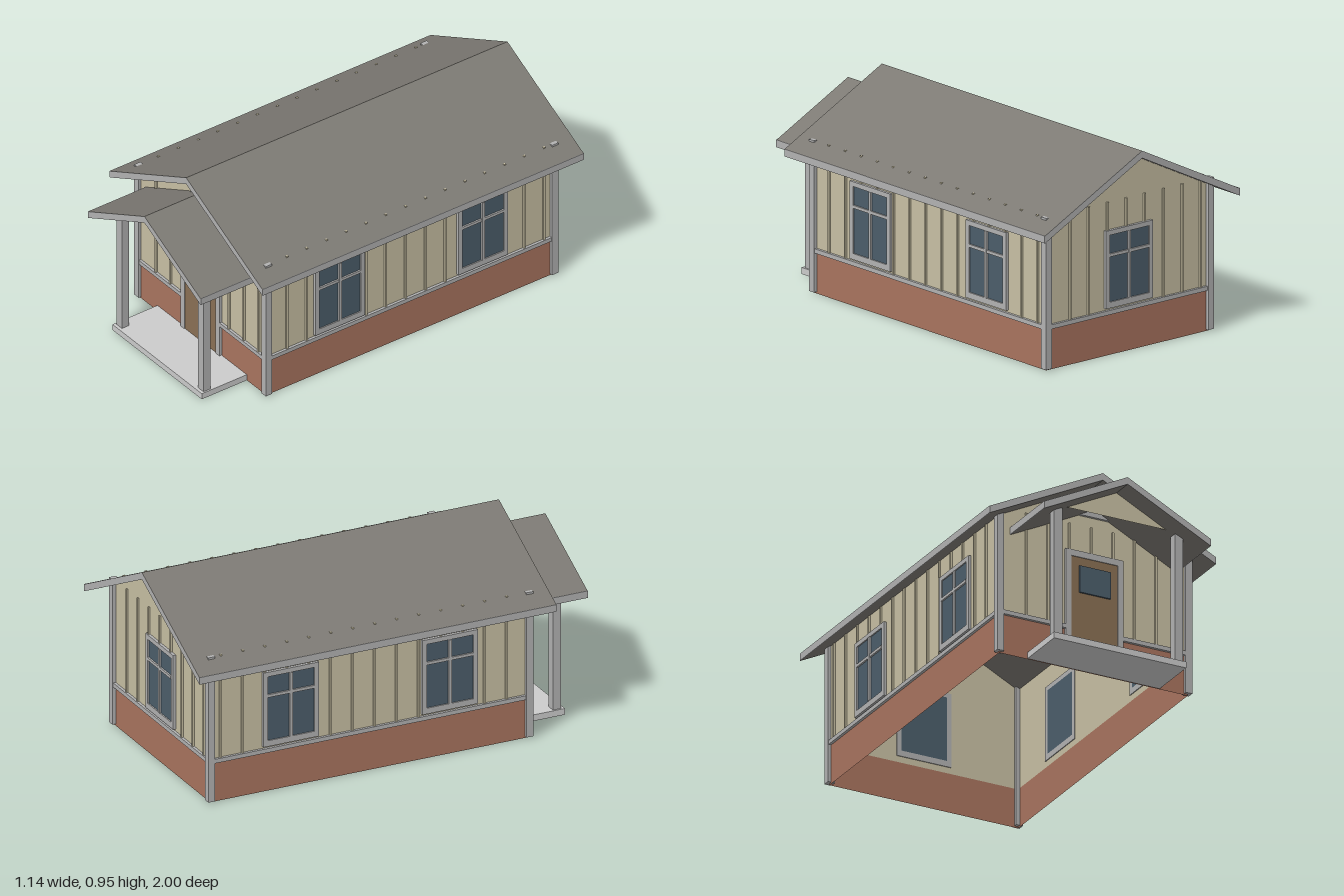
import * as THREE from 'three';

const paint = (color, side = THREE.FrontSide) => new THREE.MeshStandardMaterial({ color, side });

export function createModel() {
  const house = new THREE.Group();
  house.name = 'house';

  const trim = paint(0xb2b2b2);
  const siding = paint(0xc8c0a4, THREE.DoubleSide);
  const brick = paint(0xa9745f, THREE.DoubleSide);
  const glass = paint(0x4c5e6b);
  const wood = paint(0x8a7054);
  const roofing = paint(0x7d7a74);
  const concrete = paint(0xc2c2be);

  const HALF_X = 0.475, FRONT = 0.68, BACK = -0.9;
  const LENGTH = FRONT - BACK, MID = (FRONT + BACK) / 2;
  const BRICK_TOP = 0.19, BAND_TOP = 0.21, BATTEN_TOP = 0.71;
  const RIDGE_UNDER = 0.912, SLOPE = 0.5;

  // Box given by its limits on each axis
  function box(parent, name, material, [x0, x1], [y0, y1], [z0, z1]) {
    const mesh = new THREE.Mesh(new THREE.BoxGeometry(x1 - x0, y1 - y0, z1 - z0), material);
    mesh.position.set((x0 + x1) / 2, (y0 + y1) / 2, (z0 + z1) / 2);
    mesh.name = name;
    parent.add(mesh);
    return mesh;
  }

  function sheet(parent, name, material, points, z = 0) {
    const shape = new THREE.Shape(points.map(([x, y]) => new THREE.Vector2(x, y)));
    const mesh = new THREE.Mesh(new THREE.ShapeGeometry(shape), material);
    mesh.position.z = z;
    mesh.name = name;
    parent.add(mesh);
  }

  // Window on a wall facing +z, centred on x
  function addWindow(wall, x) {
    const g = new THREE.Group();
    g.name = 'window';
    g.position.x = x;
    const w = 0.137, i = 0.115, y0 = 0.22, y1 = 0.58, a = 0.248, b = 0.558;
    for (const s of [-1, 1]) {
      box(g, 'windowSideTrim', trim, s < 0 ? [-w, -i] : [i, w], [y0, y1], [-0.004, 0.014]);
    }
    box(g, 'windowHead', trim, [-i, i], [b, y1], [-0.004, 0.014]);
    box(g, 'windowSill', trim, [-i, i], [y0, a], [-0.004, 0.014]);
    box(g, 'windowGlass', glass, [-i, i], [a, b], [-0.004, 0.008]);
    box(g, 'verticalMuntin', trim, [-0.007, 0.007], [a, b], [0.006, 0.017]);
    box(g, 'horizontalMuntin', trim, [-i, i], [0.458, 0.472], [0.006, 0.016]);
    wall.add(g);
  }

  // One wall facing +z: brick base, siding, band and battens around openings
  function addWall(name, half, gable, firstBatten, windows, doorHalf = 0) {
    const wall = new THREE.Group();
    wall.name = name;
    const eave = RIDGE_UNDER - SLOPE * HALF_X;
    const outline = [[-half, BRICK_TOP], [half, BRICK_TOP], [half, eave]];
    if (gable) outline.push([0, RIDGE_UNDER]);
    outline.push([-half, eave]);
    sheet(wall, 'siding', siding, outline);
    sheet(wall, 'brickBase', brick, [[-half, 0], [half, 0], [half, BRICK_TOP], [-half, BRICK_TOP]]);

    const runs = doorHalf ? [[-half, -doorHalf], [doorHalf, half]] : [[-half, half]];
    for (const run of runs) box(wall, 'baseBand', trim, run, [BRICK_TOP, BAND_TOP], [0, 0.013]);

    for (let x = firstBatten; x < half - 0.02; x += 0.109) {
      const blocked = Math.abs(x) < doorHalf || windows.some(c => Math.abs(x - c) < 0.14);
      box(wall, 'batten', siding, [x - 0.005, x + 0.005], [blocked ? 0.58 : BAND_TOP, BATTEN_TOP], [0, 0.009]);
    }
    windows.forEach(c => addWindow(wall, c));
    house.add(wall);
    return wall;
  }

  const front = addWall('frontWall', HALF_X, true, -0.34, [], 0.145);
  front.position.z = FRONT;
  const back = addWall('backWall', HALF_X, true, -0.34, [0]);
  back.rotation.y = Math.PI;
  back.position.z = BACK;
  for (const s of [-1, 1]) {
    // Local x runs along -z on the left wall and +z on the right wall
    const centres = [0.283, -0.505].map(z => -s * (z - MID));
    const first = s > 0 ? MID - 0.57 : -0.85 - MID;
    const side = addWall(s > 0 ? 'leftWall' : 'rightWall', LENGTH / 2, false, first, centres);
    side.rotation.y = s * Math.PI / 2;
    side.position.set(s * HALF_X, 0, MID);
  }

  // Corner posts
  for (const x of [-0.474, 0.474]) {
    for (const z of [0.677, -0.9]) {
      box(house, 'cornerPost', trim, [x - 0.017, x + 0.017], [0.008, BATTEN_TOP], [z - 0.017, z + 0.017]);
    }
  }

  // Door with glazed pane and casing
  const door = new THREE.Group();
  door.name = 'door';
  door.position.z = FRONT;
  box(door, 'doorLeaf', wood, [-0.117, 0.117], [0.03, 0.55], [-0.004, 0.01]);
  box(door, 'doorGlass', glass, [-0.078, 0.078], [0.378, 0.508], [0, 0.018]);
  box(door, 'doorCasing', trim, [-0.145, -0.117], [0.03, 0.58], [-0.004, 0.014]);
  box(door, 'doorCasing', trim, [0.117, 0.145], [0.03, 0.58], [-0.004, 0.014]);
  box(door, 'doorHead', trim, [-0.117, 0.117], [0.55, 0.58], [-0.004, 0.014]);
  house.add(door);

  // Gable vent
  box(house, 'gableVent', trim, [-0.072, 0.072], [0.76, 0.875], [FRONT - 0.003, FRONT + 0.012]);

  // Gabled roof slab with light end faces and eave boards
  function addRoof(name, half, ridge, thick, z0, z1) {
    const roof = new THREE.Group();
    roof.name = name;
    const w = half - 0.003, drop = SLOPE * w;
    const shape = new THREE.Shape([
      [0, ridge], [-w, ridge - drop], [-w, ridge - drop - thick],
      [0, ridge - thick], [w, ridge - drop - thick], [w, ridge - drop],
    ].map(([x, y]) => new THREE.Vector2(x, y)));
    const slab = new THREE.Mesh(
      new THREE.ExtrudeGeometry(shape, { depth: z1 - z0, bevelEnabled: false }), [trim, roofing]);
    slab.position.z = z0;
    slab.name = 'roofSlab';
    roof.add(slab);
    for (const s of [-1, 1]) {
      box(roof, 'eaveBoard', trim, s < 0 ? [-half, -w] : [w, half],
        [ridge - drop - thick, ridge - drop], [z0, z1]);
    }
    house.add(roof);
  }
  addRoof('mainRoof', 0.57, 0.946, 0.034, -1, 0.77);
  addRoof('porchRoof', 0.42, 0.832, 0.034, 0.55, 1);

  // Porch: slab, posts and gable infill
  box(house, 'porchSlab', concrete, [-0.333, 0.333], [0.002, 0.032], [FRONT + 0.002, 0.93]);
  for (const s of [-1, 1]) {
    box(house, 'porchPost', trim, [s * 0.304 - 0.021, s * 0.304 + 0.021], [0.032, 0.652], [0.875, 0.915]);
  }
  sheet(house, 'porchGable', siding, [[-0.25, 0.673], [0.25, 0.673], [0, 0.798]], 0.895);

  return house;
}
